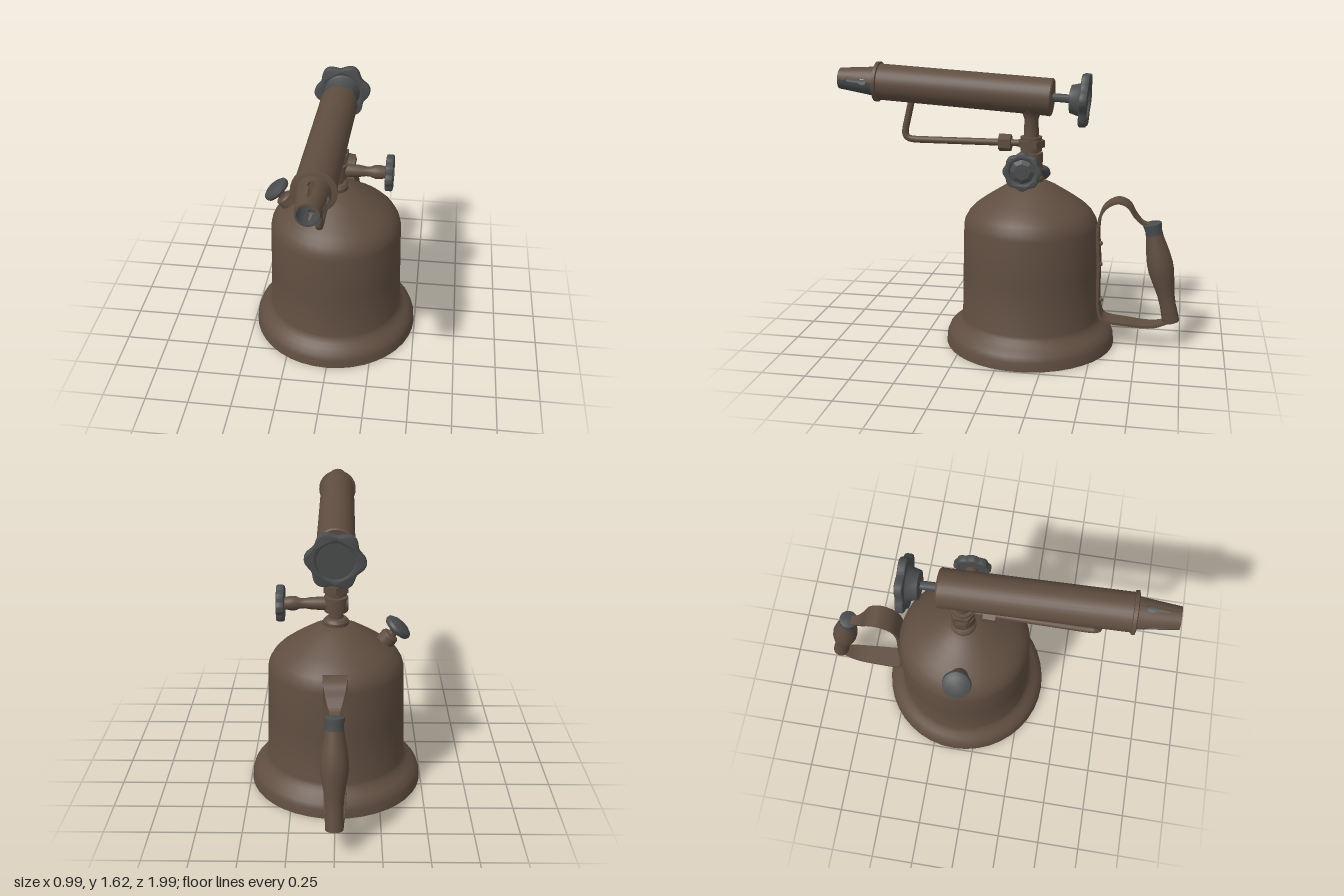
import * as THREE from 'three';
import { toCreasedNormals } from 'three/addons/utils/BufferGeometryUtils.js';

const V2 = (a) => a.map(([x, y]) => new THREE.Vector2(x, y));

// Turned solid from [radius, height] pairs, listed bottom to top
const turned = (pts, seg = 32, crease = 0.6) =>
  toCreasedNormals(new THREE.LatheGeometry(V2(pts), seg), crease);
const alongZ = (g) => g.rotateX(Math.PI / 2);
const alongX = (g) => g.rotateZ(-Math.PI / 2);

// Closed skin over a row of cross-section loops, capped at both ends
function skin(loops) {
  const pos = [];
  const tri = (...p) => p.forEach((v) => pos.push(v.x, v.y, v.z));
  const quad = (a, b, c, d) => { tri(a, b, c); tri(a, c, d); };
  const n = loops[0].length;
  for (let k = 0; k < loops.length - 1; k++) {
    const A = loops[k], B = loops[k + 1];
    for (let i = 0; i < n; i++) {
      const j = (i + 1) % n;
      quad(A[i], A[j], B[j], B[i]);
    }
  }
  const first = loops[0], last = loops[loops.length - 1];
  for (let i = 0; i < n / 2 - 1; i++) {
    quad(last[i], last[i + 1], last[n - 2 - i], last[n - 1 - i]);
    quad(first[n - 1 - i], first[n - 2 - i], first[i + 1], first[i]);
  }
  const g = new THREE.BufferGeometry();
  g.setAttribute('position', new THREE.Float32BufferAttribute(pos, 3));
  return toCreasedNormals(g, 0.6);
}

// Lobed hand wheel rim, lying in the xy plane
function wheelRim(radius, wave, lobes, depth, hole, turn = 0) {
  const bevel = 0.01, pts = [];
  for (let i = 0; i < 96; i++) {
    const a = (i / 96) * Math.PI * 2;
    const r = radius - bevel - wave + wave * Math.cos(lobes * (a - turn));
    pts.push([r * Math.cos(a), r * Math.sin(a)]);
  }
  const shape = new THREE.Shape(V2(pts));
  shape.holes.push(new THREE.Path().absarc(0, 0, hole + bevel, 0, Math.PI * 2, true));
  const g = new THREE.ExtrudeGeometry(shape, {
    depth: depth - 2 * bevel, bevelEnabled: true, bevelSize: bevel,
    bevelThickness: bevel, bevelSegments: 2, curveSegments: 24,
  });
  return toCreasedNormals(g.translate(0, 0, bevel), 0.7);
}

export function createModel() {
  const model = new THREE.Group();
  const brown = new THREE.MeshStandardMaterial({ color: 0x5f4d40 });
  brown.name = 'aged brown metal';
  const grey = new THREE.MeshStandardMaterial({ color: 0x4b4c4d });
  grey.name = 'dark grey';

  const add = (parent, name, geo, mat, x = 0, y = 0, z = 0) => {
    const m = new THREE.Mesh(geo, mat);
    m.name = name;
    m.position.set(x, y, z);
    parent.add(m);
    return m;
  };
  const group = (name, x, y, z) => {
    const g = new THREE.Group();
    g.name = name;
    g.position.set(x, y, z);
    model.add(g);
    return g;
  };
  const CZ = -0.12; // tank axis

  // Fuel tank with flared foot and dome
  add(model, 'tank', turned([[0, 0], [0.495, 0], [0.49, 0.05], [0.478, 0.08], [0.45, 0.105],
    [0.425, 0.125], [0.408, 0.145], [0.4, 0.165], [0.393, 0.45], [0.386, 0.71], [0.378, 0.745],
    [0.355, 0.785], [0.32, 0.82], [0.27, 0.856], [0.21, 0.895], [0.15, 0.932], [0.1, 0.957],
    [0.06, 0.968], [0, 0.97]], 40), brown, 0, 0, CZ);

  // Riser column with collars
  add(model, 'riser', turned([[0, 0.95], [0.072, 0.95], [0.072, 0.985], [0.06, 1.0], [0.042, 1.005],
    [0.042, 1.25], [0.04, 1.32], [0.05, 1.35], [0.065, 1.37], [0.065, 1.4], [0, 1.4]], 24), brown, 0, 0, CZ);
  for (const [r, y, h, n] of [[0.066, 1.085, 0.085, 24], [0.078, 1.18, 0.04, 6], [0.062, 1.18, 0.08, 12]])
    add(model, 'riserNut', toCreasedNormals(new THREE.CylinderGeometry(r, r, h, n), 0.6), brown, 0, y, CZ);

  // Side valve and its hand wheel
  const valve = group('sideValve', 0, 1.085, CZ);
  add(valve, 'valveBody', alongX(turned([[0, -0.07], [0.038, -0.07], [0.038, 0.08], [0.034, 0.14],
    [0.028, 0.175], [0.03, 0.2], [0.04, 0.225], [0.04, 0.255], [0.034, 0.285], [0.02, 0.29], [0, 0.29]], 20)), brown);
  add(valve, 'valveWheel', wheelRim(0.107, 0.005, 8, 0.045, 0.068).rotateY(Math.PI / 2), grey, 0.285);
  add(valve, 'valveWheelWeb', alongX(turned([[0, 0], [0.08, 0], [0.08, 0.022], [0.068, 0.022],
    [0.045, 0.034], [0.028, 0.034], [0.028, 0.044], [0.012, 0.044], [0.012, 0.036], [0, 0.036]], 8, 0.3)), grey, 0.288);

  // Fuel pipe and union nut under the burner
  const pipe = new THREE.CurvePath();
  const P = (y, z) => new THREE.Vector3(0, y, z);
  pipe.add(new THREE.LineCurve3(P(1.18, -0.12), P(1.18, 0.54)));
  pipe.add(new THREE.CubicBezierCurve3(P(1.18, 0.54), P(1.18, 0.61), P(1.19, 0.63), P(1.26, 0.612)));
  pipe.add(new THREE.LineCurve3(P(1.26, 0.612), P(1.43, 0.57)));
  add(model, 'fuelPipe', new THREE.TubeGeometry(pipe, 60, 0.02, 12), brown);
  add(model, 'unionNut', toCreasedNormals(alongZ(new THREE.CylinderGeometry(0.05, 0.05, 0.07, 6)), 0.5),
    brown, 0, 1.18, 0.03);

  // Burner barrel, slightly raised at the front
  const burner = group('burner', 0, 1.445, -0.24);
  burner.rotation.x = -Math.atan(0.0637);
  add(burner, 'barrel', alongZ(turned([[0, 0], [0.1, 0], [0.107, 0.008], [0.105, 0.03], [0.103, 1.0],
    [0.114, 1.003], [0.114, 1.022], [0.1, 1.026], [0, 1.026]], 32)), brown);

  // Tapered nozzle in four panels, with keyhole slots between them
  const slot = [[0, 0], [0.2, 0], [0.22, 0.012], [0.28, 0.019], [0.36, 0.019], [0.42, 0.01],
    [0.75, 0.007], [0.77, 0], [0.97, 0], [1, 0]];
  const panel = (start) => skin(slot.map(([t, half]) => {
    const r = 0.085 - 0.025 * t, gap = half / r, z = 1.02 + 0.22 * t, loop = [];
    for (const [rad, flip] of [[r, false], [r - 0.01, true]])
      for (let i = 0; i <= 8; i++) {
        const s = (flip ? 8 - i : i) / 8;
        const a = start + gap + (Math.PI / 2 - 2 * gap) * s;
        loop.push(new THREE.Vector3(rad * Math.cos(a), rad * Math.sin(a), z));
      }
    return loop;
  }));
  for (let q = 0; q < 4; q++)
    add(burner, 'nozzlePanel', panel(q * Math.PI / 2), q < 2 ? brown : grey);

  // Rear control wheel on its spindle
  add(burner, 'spindle', alongZ(turned([[0, -0.12], [0.024, -0.12], [0.024, 0.01], [0, 0.01]], 16)), grey);
  add(burner, 'controlHub', alongZ(turned([[0, -0.19], [0.112, -0.19], [0.108, -0.165], [0.092, -0.15],
    [0.078, -0.1], [0.06, -0.095], [0, -0.095]], 32)), grey);
  add(burner, 'controlWheel', wheelRim(0.162, 0.013, 6, 0.045, 0.1, 0.09), grey, 0, 0, -0.203);

  // Filler neck and cap on the dome
  const filler = group('filler', -0.22, 0.785, -0.1);
  filler.rotation.z = 0.71;
  add(filler, 'fillerNeck', turned([[0, 0], [0.052, 0], [0.052, 0.13], [0.045, 0.14], [0.025, 0.145],
    [0.025, 0.18], [0, 0.18]], 20), brown);
  add(filler, 'fillerCap', turned([[0, 0.17], [0.05, 0.17], [0.076, 0.18], [0.084, 0.195], [0.08, 0.212],
    [0.055, 0.226], [0, 0.232]], 24), grey);

  // Handle strap: control points are half width, y, z
  const strap = new THREE.CatmullRomCurve3([[0.025, 0.735, -0.81], [0.03, 0.745, -0.765],
    [0.045, 0.79, -0.72], [0.06, 0.85, -0.68], [0.065, 0.87, -0.62], [0.065, 0.83, -0.55],
    [0.065, 0.74, -0.515], [0.065, 0.5, -0.52], [0.065, 0.22, -0.527], [0.065, 0.165, -0.55],
    [0.06, 0.14, -0.7], [0.05, 0.135, -0.84], [0.03, 0.165, -0.94]].map((p) => new THREE.Vector3(...p)));
  const loops = [];
  for (let i = 0; i <= 80; i++) {
    const p = strap.getPoint(i / 80), d = strap.getTangent(i / 80).setX(0).normalize();
    loops.push([[-1, -1], [1, -1], [1, 1], [-1, 1]].map(([u, n]) =>
      new THREE.Vector3(u * p.x, p.y + n * 0.008 * d.z, p.z - n * 0.008 * d.y)));
  }
  add(model, 'handleStrap', skin(loops), brown);
  for (const [y, z] of [[0.61, -0.526], [0.485, -0.528], [0.265, -0.535]])
    add(model, 'rivet', new THREE.SphereGeometry(0.014, 12, 8), brown, 0, y, z);

  // Turned grip with a grey ferrule
  const grip = group('grip', 0, 0.16, -0.945);
  grip.rotation.x = Math.atan2(0.13, 0.585);
  add(grip, 'gripBody', turned([[0, 0], [0.048, 0], [0.049, 0.03], [0.046, 0.1], [0.05, 0.17], [0.062, 0.24],
    [0.073, 0.31], [0.074, 0.36], [0.066, 0.43], [0.053, 0.5], [0.048, 0.54], [0, 0.54]], 24), brown);
  add(grip, 'ferrule', turned([[0, 0.53], [0.049, 0.53], [0.048, 0.56], [0.053, 0.585], [0.053, 0.598],
    [0.045, 0.602], [0, 0.602]], 24), grey);

  return model;
}
